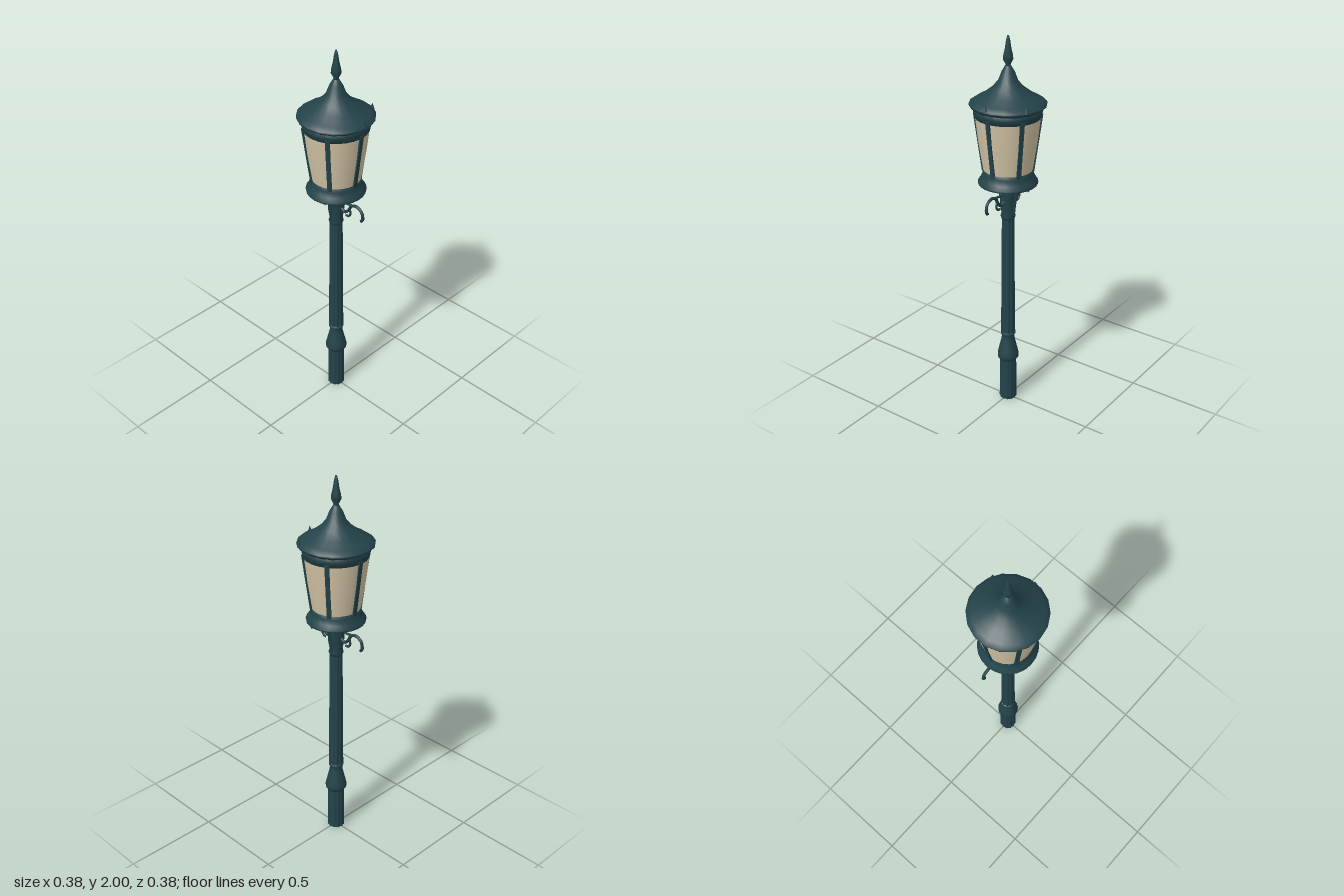
import * as THREE from 'three';

export function createModel() {
  const model = new THREE.Group();
  model.name = 'streetLamp';
  const iron = new THREE.MeshStandardMaterial({ color: 0x23434a });
  iron.name = 'dark teal iron';
  const glass = new THREE.MeshStandardMaterial({ color: 0xd3c5a6, side: THREE.DoubleSide });
  glass.name = 'pale glass';

  function add(name, geometry, material = iron, parent = model) {
    const mesh = new THREE.Mesh(geometry, material);
    mesh.name = name;
    parent.add(mesh);
    return mesh;
  }
  // Profile points are [radius, height], listed from bottom to top
  const lathe = (points, sides) =>
    new THREE.LatheGeometry(points.map(([r, y]) => new THREE.Vector2(r, y)), sides);
  const tube = (points, radius, steps = 24) =>
    new THREE.TubeGeometry(new THREE.CatmullRomCurve3(points.map(p => new THREE.Vector3(...p))), steps, radius, 6);

  // Cylinder with vertical grooves cut into its side
  function fluted(bottomR, topR, y0, y1, flutes, depth) {
    const g = new THREE.CylinderGeometry(topR, bottomR, y1 - y0, flutes * 4, 1);
    const p = g.attributes.position;
    for (let i = 0; i < p.count; i++) {
      const a = Math.atan2(p.getZ(i), p.getX(i));
      const k = 1 - depth * (0.5 - 0.5 * Math.cos(a * flutes));
      p.setXYZ(i, p.getX(i) * k, p.getY(i), p.getZ(i) * k);
    }
    g.computeVertexNormals();
    g.translate(0, (y0 + y1) / 2, 0);
    return g;
  }

  // Post
  add('base', fluted(0.046, 0.044, 0, 0.25, 12, 0.1));
  add('baseCollar', lathe([[0, 0.235], [0.045, 0.24], [0.056, 0.255], [0.056, 0.275], [0.048, 0.31],
    [0.036, 0.36], [0.032, 0.385], [0.039, 0.395], [0.039, 0.41], [0, 0.415]], 16));
  add('shaft', fluted(0.039, 0.033, 0.4, 1.08, 10, 0.13));
  add('postHead', lathe([[0, 1.06], [0.032, 1.065], [0.038, 1.08], [0.033, 1.1], [0.04, 1.14],
    [0.043, 1.2], [0.048, 1.235], [0.04, 1.245], [0, 1.245]], 16));
  // Flared ribs on the front and back of the post head
  for (const s of [1, -1]) {
    add('headRib', tube([[0, 1.09, s * 0.032], [0, 1.17, s * 0.043], [0, 1.23, s * 0.06]], 0.008, 8));
  }

  // Scroll brackets
  for (const s of [1, -1]) {
    const bracket = new THREE.Group();
    bracket.name = s > 0 ? 'leftBracket' : 'rightBracket';
    add('scroll', tube([[s * 0.03, 1.17, 0], [s * 0.06, 1.155, 0], [s * 0.085, 1.175, 0], [s * 0.105, 1.208, 0],
      [s * 0.14, 1.218, 0], [s * 0.172, 1.2, 0], [s * 0.18, 1.165, 0], [s * 0.17, 1.148, 0]], 0.008, 36), iron, bracket);
    add('innerCurl', tube([[s * 0.09, 1.19, 0], [s * 0.098, 1.16, 0], [s * 0.085, 1.14, 0],
      [s * 0.068, 1.14, 0]], 0.006), iron, bracket);
    add('upperBrace', tube([[s * 0.04, 1.23, 0], [s * 0.065, 1.21, 0], [s * 0.11, 1.212, 0]], 0.006), iron, bracket);
    model.add(bracket);
  }

  // Glass bowl and ribs beneath the lantern
  add('glassBowl', lathe([[0.03, 1.247], [0.09, 1.252], [0.135, 1.272]], 24), glass);
  for (let i = 0; i < 6; i++) {
    const rib = add('bowlRib', tube([[0.035, 1.24, 0], [0.09, 1.248, 0], [0.142, 1.266, 0]], 0.007, 8));
    rib.rotation.y = i * Math.PI / 3;
  }

  // Lantern body
  add('lowerRing', lathe([[0.128, 1.262], [0.148, 1.26], [0.15, 1.27], [0.136, 1.29], [0.125, 1.315],
    [0.127, 1.335], [0.115, 1.335], [0.128, 1.262]], 24));
  add('glassShade', lathe([[0.122, 1.325], [0.146, 1.48], [0.162, 1.62]], 24), glass);
  // Six bars rise along the sloping glass
  for (let i = 0; i < 6; i++) {
    const pivot = new THREE.Group();
    pivot.name = 'frameBar';
    const bar = add('bar', new THREE.BoxGeometry(0.012, 0.3, 0.022), iron, pivot);
    bar.position.set(0.143, 1.472, 0);
    bar.rotation.z = -Math.atan2(0.04, 0.295);
    pivot.rotation.y = i * Math.PI / 3;
    model.add(pivot);
  }
  add('upperRing', lathe([[0.15, 1.605], [0.162, 1.605], [0.167, 1.63], [0.172, 1.655], [0.155, 1.655], [0.15, 1.605]], 24));

  // Roof and finial
  add('roof', lathe([[0, 1.645], [0.165, 1.645], [0.188, 1.663], [0.189, 1.673], [0.165, 1.69], [0.12, 1.715],
    [0.075, 1.75], [0.048, 1.783], [0.032, 1.825], [0.014, 1.855], [0, 1.858]], 18));
  add('finial', lathe([[0, 1.84], [0.017, 1.845], [0.012, 1.86], [0.025, 1.885], [0.023, 1.905], [0.015, 1.94],
    [0.01, 1.975], [0.004, 1.998], [0, 2]], 8));
  // Little tips on the eaves
  for (const [x, z] of [[0.18, 0], [0.08, -0.163]]) {
    add('eaveTip', new THREE.ConeGeometry(0.012, 0.035, 6)).position.set(x, 1.686, z);
  }
  return model;
}
